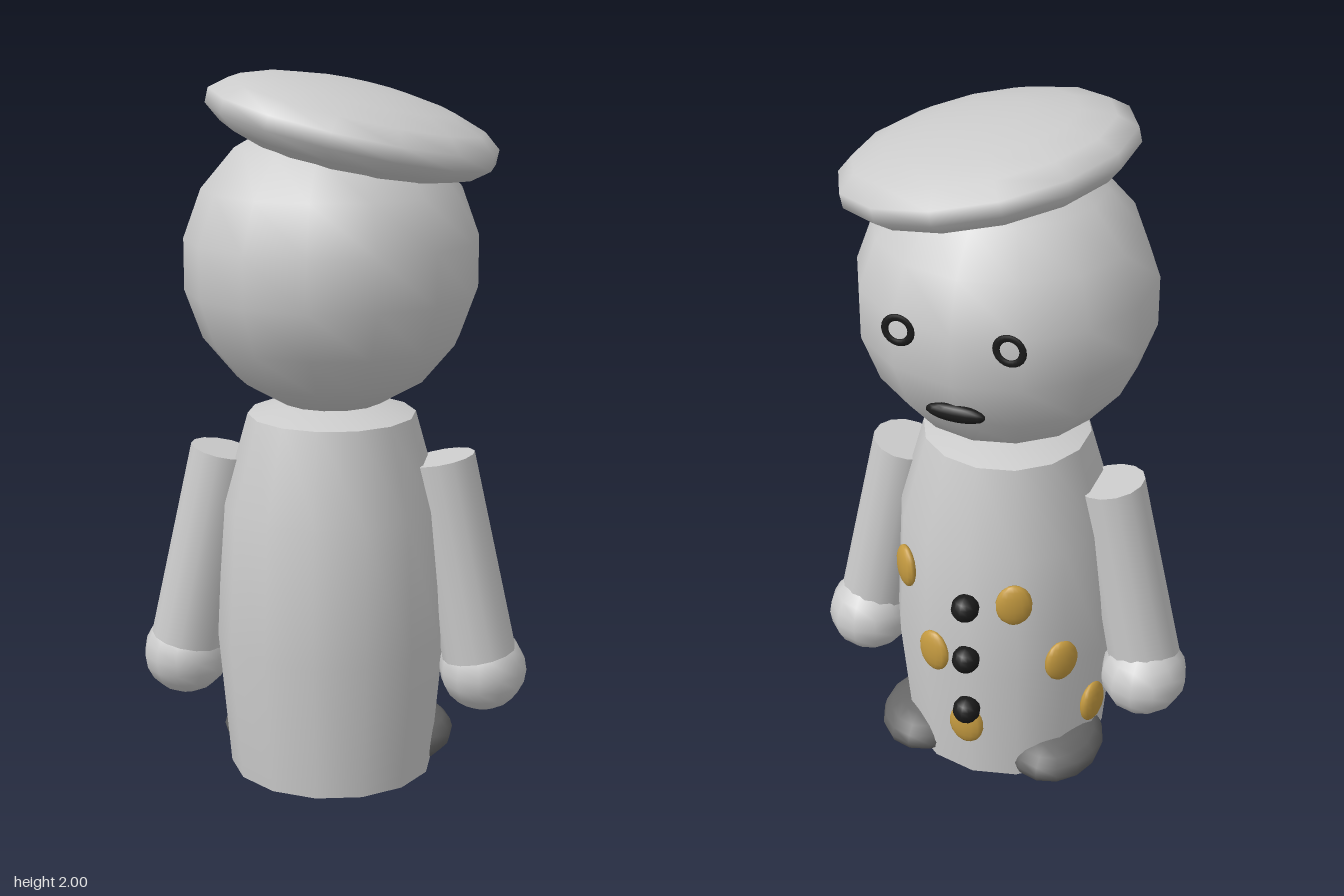
import * as THREE from 'three';
import { toCreasedNormals } from 'three/addons/utils/BufferGeometryUtils.js';

const paint = (name, color) => {
  const m = new THREE.MeshStandardMaterial({ color });
  m.name = name;
  return m;
};

export function createModel() {
  const grey = paint('light grey', 0xcccccc);
  const dark = paint('dark grey', 0x666666);
  const black = paint('black', 0x1a1a1a);
  const gold = paint('gold', 0xc49a40);

  const model = new THREE.Group();
  model.name = 'figure';

  const add = (name, geometry, material, x, y, z) => {
    const mesh = new THREE.Mesh(geometry, material);
    mesh.name = name;
    mesh.position.set(x, y, z);
    model.add(mesh);
    return mesh;
  };
  // Stretched ball with a vertex column on the z axis
  const ball = (rx, ry, rz, sides = 14, rings = 9) =>
    new THREE.SphereGeometry(1, sides, rings).rotateY(Math.PI / 2).scale(rx, ry, rz);

  // Body: barrel profile, closed at both ends
  const profile = [[0, 0.03], [0.29, 0.03], [0.325, 0.42], [0.306, 0.81], [0.235, 1.065], [0.12, 1.1], [0, 1.1]]
    .map(([r, y]) => new THREE.Vector2(r, y));
  add('body', toCreasedNormals(new THREE.LatheGeometry(profile, 14), 0.8), grey, 0, 0, 0);

  // Head and tilted cap
  add('head', ball(0.41, 0.41, 0.41), grey, 0, 1.485, 0);
  add('hat', ball(0.407, 0.117, 0.395), grey, 0.06, 1.856, 0.016).rotation.z = -0.22;

  // Arms, hands, feet and eyes, mirrored
  for (const side of [-1, 1]) {
    const arm = add('arm', new THREE.CylinderGeometry(0.095, 0.105, 0.58, 14), grey, side * 0.365, 0.662, 0);
    arm.rotation.z = side * 0.2;
    add('hand', ball(0.125, 0.12, 0.13, 12, 10), grey, side * 0.432, 0.325, -0.023);
    add('foot', ball(0.138, 0.076, 0.175, 14, 10), dark, side * 0.2, 0.08, -0.125);
    add('eye', new THREE.TorusGeometry(0.036, 0.01, 8, 20).scale(1, 1, 0.4), black, side * 0.15, 1.537, -0.382);
  }
  add('mouth', ball(0.083, 0.025, 0.02), black, 0, 1.32, -0.375);

  // Buttons down the middle
  for (const y of [0.66, 0.48, 0.297]) add('button', ball(0.04, 0.04, 0.04, 12, 8), black, 0, y, -0.33);

  // Gold spots: angle from -z towards +x (degrees), height, distance from the axis
  const spots = [[45, 0.675, 0.313], [20, 0.46, 0.318], [1, 0.235, 0.318],
    [-24, 0.675, 0.315], [-49, 0.455, 0.32], [-73, 0.23, 0.312]];
  for (const [angle, y, r] of spots) {
    const a = THREE.MathUtils.degToRad(angle);
    add('spot', ball(0.052, 0.066, 0.022), gold, Math.sin(a) * r, y, -Math.cos(a) * r).rotation.y = -a;
  }
  return model;
}
